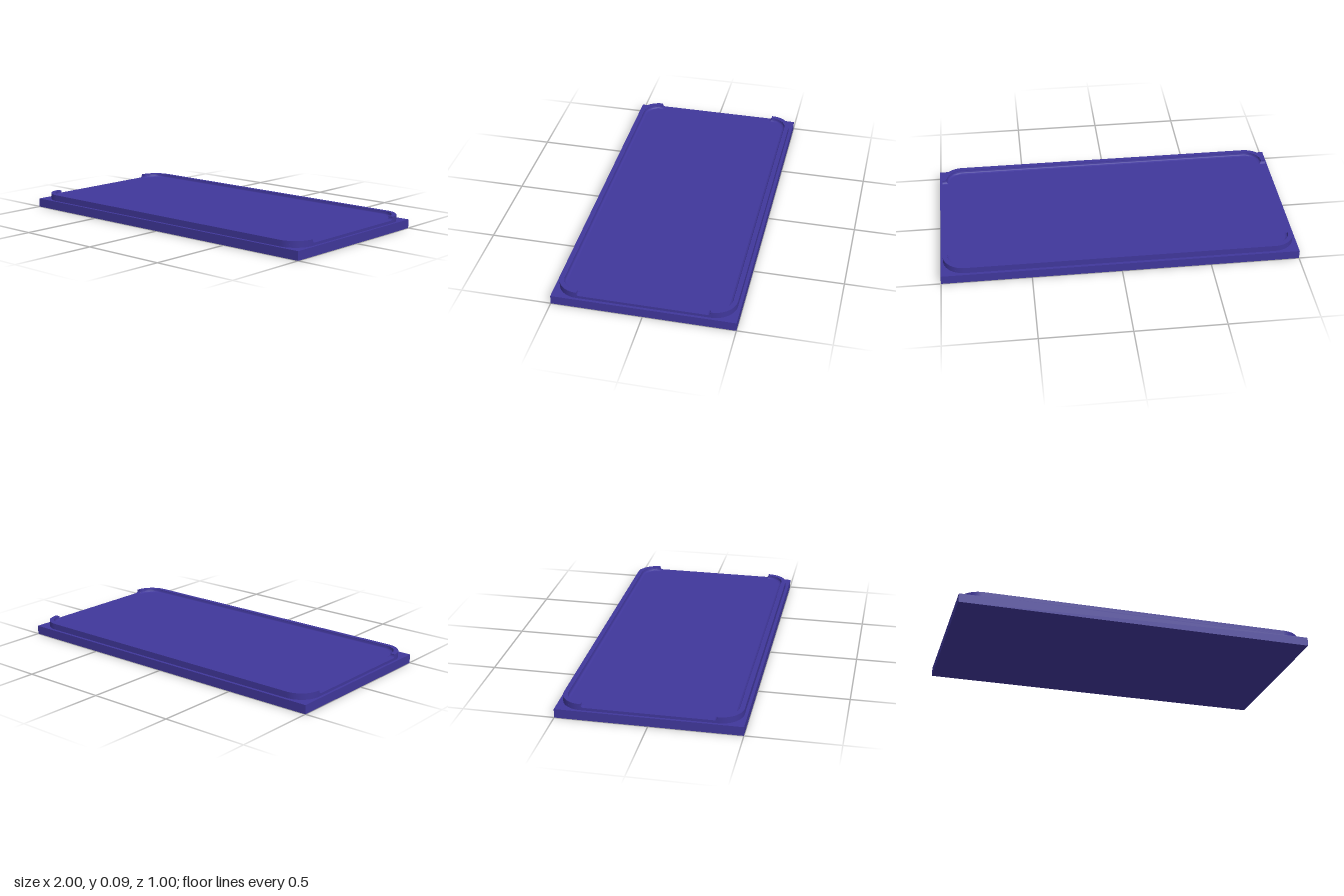
import * as THREE from 'three';
import { toCreasedNormals } from 'three/addons/utils/BufferGeometryUtils.js';

const HX = 0.985, HZ = 0.483, R = 0.12;        // outline of the raised tray
const BASE = 0.05, FLOOR = 0.065, TOP = 0.085; // heights
const WALL = 0.026, FILLET = 0.015, END = 0.36;
const STEPS = 6, ARC = 16;

// Rounded rectangle filling the tray outline
function trayShape() {
  const s = new THREE.Shape();
  const cx = HX - R, cz = HZ - R;
  s.absarc(cx, cz, R, 0, Math.PI / 2);
  s.absarc(-cx, cz, R, Math.PI / 2, Math.PI);
  s.absarc(-cx, -cz, R, Math.PI, Math.PI * 1.5);
  s.absarc(cx, -cz, R, Math.PI * 1.5, Math.PI * 2);
  s.closePath();
  return s;
}

// Lip along one long side and round its two corners, blended into the floor
function lipGeometry() {
  const curve = [];
  for (let i = 0; i <= STEPS; i++) {
    const t = (i / STEPS) * Math.PI / 2;
    curve.push([FILLET * (1 - Math.cos(t)), FLOOR + FILLET * (1 - Math.sin(t))]);
  }
  // Cross-section: inward offset and height
  const section = [[0, FLOOR], [0, TOP], [WALL, TOP], ...curve.map(([d, y]) => [WALL + d, y])];

  // Stations along the right half; the ends sweep down to the floor
  const half = [];
  for (let i = 0; i <= ARC; i++) {
    const a = Math.PI / 2 * (1 - i / ARC), c = Math.cos(a), s = Math.sin(a);
    half.push({ x: HX - R + R * c, z: HZ - R + R * s, nx: -c, nz: -s, cap: TOP });
  }
  half.push({ x: HX, z: END, nx: -1, nz: 0, cap: TOP });
  for (const [d, y] of curve) half.push({ x: HX, z: END - d, nx: -1, nz: 0, cap: y });
  const mirrored = half.map(p => ({ ...p, x: -p.x, nx: -p.nx })).reverse();
  const path = [...mirrored, ...half];

  const positions = [], index = [], n = section.length;
  for (const p of path) {
    for (const [d, y] of section) positions.push(p.x + p.nx * d, Math.min(y, p.cap), p.z + p.nz * d);
  }
  for (let i = 0; i < path.length - 1; i++) {
    for (let j = 0; j < n - 1; j++) {
      const a = i * n + j, b = a + n;
      index.push(a, b, a + 1, b, b + 1, a + 1);
    }
  }
  const g = new THREE.BufferGeometry();
  g.setAttribute('position', new THREE.Float32BufferAttribute(positions, 3));
  g.setIndex(index);
  return toCreasedNormals(g, 0.6);
}

export function createModel() {
  const group = new THREE.Group();
  const material = new THREE.MeshStandardMaterial({ color: 0x40379b });
  const add = (name, geometry) => {
    const mesh = new THREE.Mesh(geometry, material);
    mesh.name = name;
    group.add(mesh);
    return mesh;
  };

  // Flat rectangular base
  add('basePlate', new THREE.BoxGeometry(2, BASE, 1)).position.y = BASE / 2;

  // Raised floor with rounded corners
  const floor = new THREE.ExtrudeGeometry(trayShape(), { depth: FLOOR - BASE, bevelEnabled: false, curveSegments: ARC });
  floor.rotateX(-Math.PI / 2);
  add('trayFloor', toCreasedNormals(floor, 0.6)).position.y = BASE;

  // Front and back lips, open at the short sides
  const lip = lipGeometry();
  add('frontLip', lip);
  add('backLip', lip).rotation.y = Math.PI;

  return group;
}
